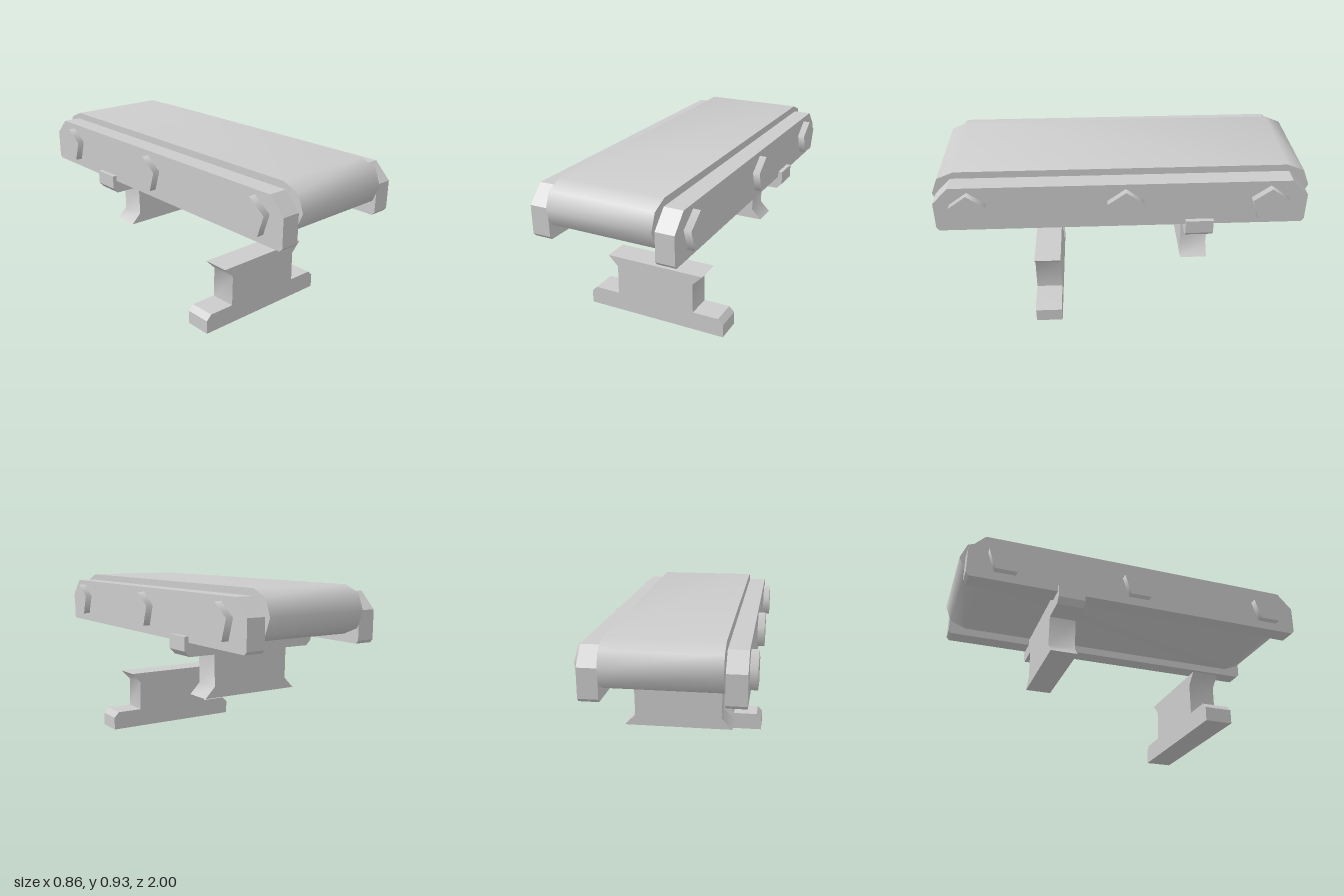
import * as THREE from 'three';
import { toCreasedNormals } from 'three/addons/utils/BufferGeometryUtils.js';

const material = new THREE.MeshStandardMaterial({ color: 0xcccccc });

// Extrude an outline, centred in depth; edges sharper than the crease stay hard
function extrude(points, depth, crease) {
  const shape = new THREE.Shape(points.map(([x, y]) => new THREE.Vector2(x, y)));
  const geometry = new THREE.ExtrudeGeometry(shape, { depth, bevelEnabled: false });
  geometry.translate(0, 0, -depth / 2);
  return toCreasedNormals(geometry, crease);
}

// Same, but with a (z, y) outline extruded across x
function extrudeAcross(points, width, crease) {
  return extrude(points, width, crease).rotateY(-Math.PI / 2);
}

function addMesh(parent, name, geometry) {
  const mesh = new THREE.Mesh(geometry, material);
  mesh.name = name;
  parent.add(mesh);
  return mesh;
}

// Half outline (right side, bottom to top) completed by its mirror image
function mirrored(half) {
  return [...half, ...half.map(([x, y]) => [-x, y]).reverse()];
}

// Wide chamfered foot with a narrow waist that flares at the top
function createStand(name) {
  const stand = new THREE.Group();
  stand.name = name;
  const foot = mirrored([[0.415, 0], [0.415, 0.075], [0.385, 0.105]]);
  const waist = mirrored([[0.235, 0.105], [0.232, 0.275], [0.29, 0.3335]]);
  addMesh(stand, 'foot', extrude(foot, 0.148, 0.3));
  addMesh(stand, 'waist', extrude(waist, 0.148, 0.9));
  return stand;
}

export function createModel() {
  const model = new THREE.Group();
  model.name = 'conveyor';

  // Belt loop with rounded ends
  const end = [[0.875, 0.677], [0.965, 0.714], [1, 0.801], [0.965, 0.888], [0.875, 0.925]];
  addMesh(model, 'belt', extrudeAcross(mirrored(end), 0.572, 0.9));

  // Side rails
  const railOutline = [
    [0.965, 0.635], [0.98, 0.652], [0.98, 0.802], [0.893, 0.89],
    [-0.883, 0.89], [-0.97, 0.802], [-0.97, 0.652], [-0.955, 0.635],
  ];
  for (const side of [-1, 1]) {
    const rail = addMesh(model, side > 0 ? 'leftRail' : 'rightRail',
      extrudeAcross(railOutline, 0.1, 0.3));
    rail.position.x = side * 0.341;
  }

  // Five-sided axles running through both rails, one corner up
  const axleGeometry = new THREE.CylinderGeometry(0.1, 0.1, 0.86, 5)
    .rotateY(-Math.PI / 2).rotateZ(Math.PI / 2);
  axleGeometry.computeBoundingBox();
  // Keep the corner pointing upwards whichever way the turn left it
  if (axleGeometry.boundingBox.max.y < 0.099) axleGeometry.rotateX(Math.PI);
  [['frontAxle', 0.8], ['middleAxle', -0.015], ['backAxle', -0.77]].forEach(([name, z]) => {
    addMesh(model, name, axleGeometry).position.set(0, 0.764, z);
  });

  // Lower stand at the front, inverted upper stand at the back
  const lower = createStand('lowerStand');
  lower.position.z = 0.422;
  const upper = createStand('upperStand');
  upper.rotation.z = Math.PI;
  upper.position.set(0, 0.667, -0.407);
  model.add(lower, upper);

  return model;
}
